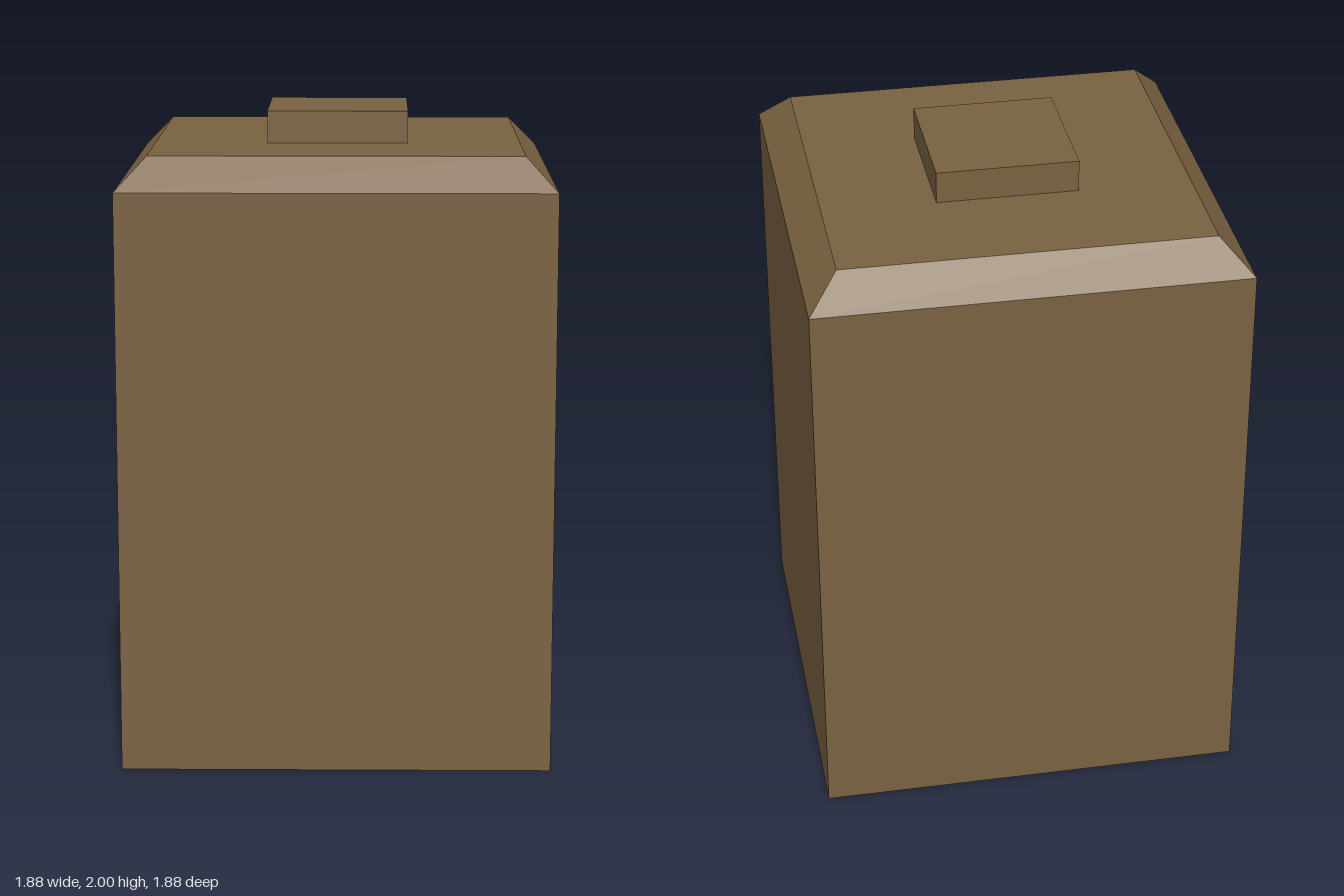
import * as THREE from 'three';

export function createModel() {
  const group = new THREE.Group();
  const brown = new THREE.MeshStandardMaterial({ color: 0x7a6241, flatShading: true });
  brown.name = 'brown';

  // Four-sided prism with its corners on the x and z axes
  const addPrism = (name, topRadius, bottomRadius, y0, y1, open = false) => {
    const geometry = new THREE.CylinderGeometry(topRadius, bottomRadius, y1 - y0, 4, 1, open);
    const mesh = new THREE.Mesh(geometry, brown);
    mesh.name = name;
    mesh.position.y = (y0 + y1) / 2;
    group.add(mesh);
  };

  addPrism('body', 0.94, 0.94, 0, 1.8);
  addPrism('bevelledShoulder', 0.805, 0.94, 1.8, 1.9);
  addPrism('topCap', 0.31, 0.31, 1.9, 2);

  return group;
}
